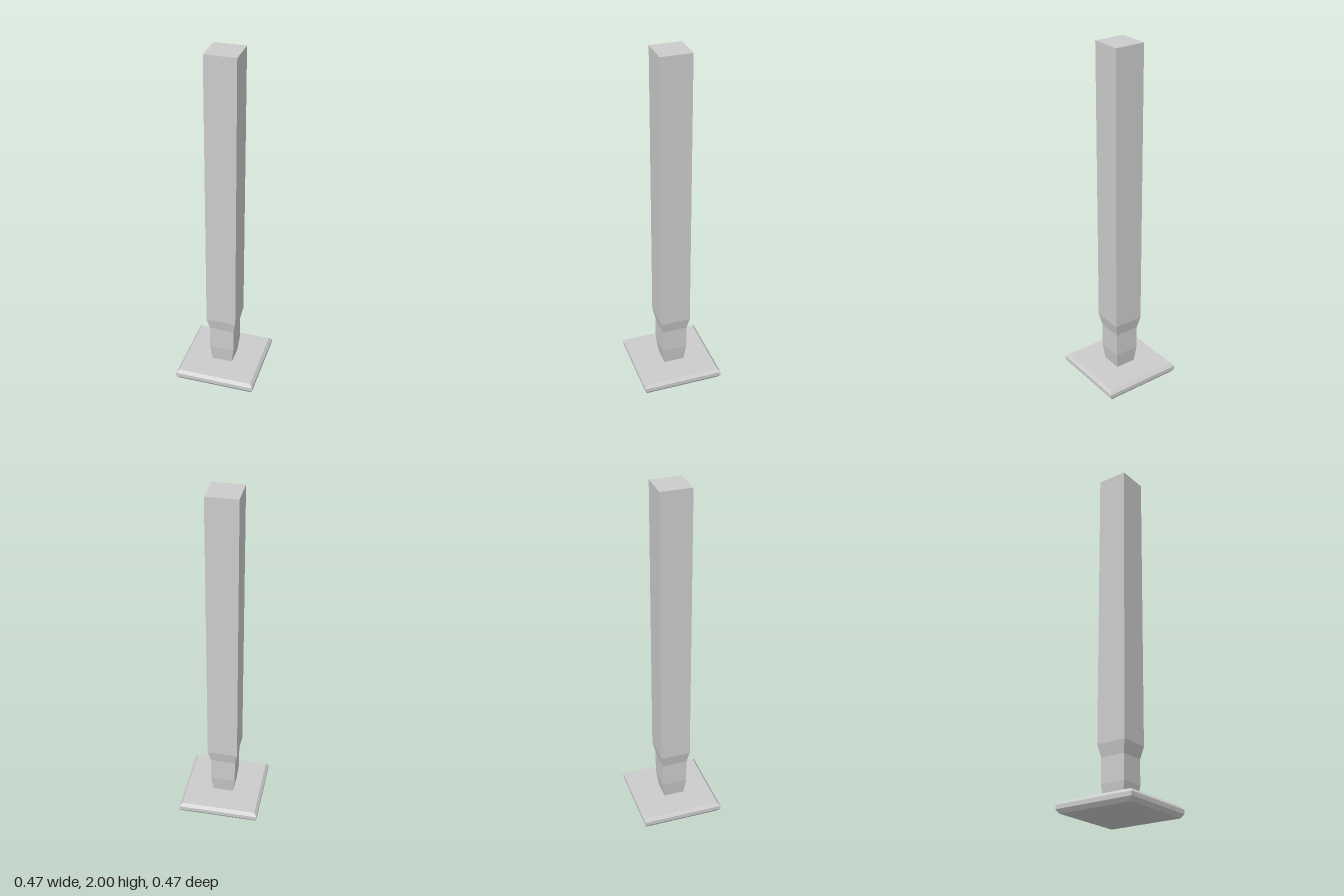
import * as THREE from 'three';

const material = new THREE.MeshStandardMaterial({ color: 0xcccccc, flatShading: true });

// Closed solid with a square cross-section; profile lists [half width, height] upwards.
function squareProfile(name, profile) {
  const first = profile[0];
  const last = profile[profile.length - 1];
  const points = [[0, first[1]], ...profile, [0, last[1]]]
    .map(([half, y]) => new THREE.Vector2(half * Math.SQRT2, y));
  let geometry = new THREE.LatheGeometry(points, 4, Math.PI / 4);
  geometry = geometry.toNonIndexed();
  geometry.computeVertexNormals();
  const mesh = new THREE.Mesh(geometry, material);
  mesh.name = name;
  return mesh;
}

export function createModel() {
  const model = new THREE.Group();
  model.name = 'squarePost';

  // Foot plate with bevelled upper and lower edges
  model.add(squareProfile('footPlate', [
    [0.217, 0], [0.233, 0.022], [0.233, 0.045], [0.217, 0.063],
  ]));

  // Post: tapered foot, narrow neck, flare and long straight shaft
  model.add(squareProfile('post', [
    [0.06, 0.063], [0.072, 0.16], [0.072, 0.3], [0.087, 0.37], [0.087, 2],
  ]));

  return model;
}
